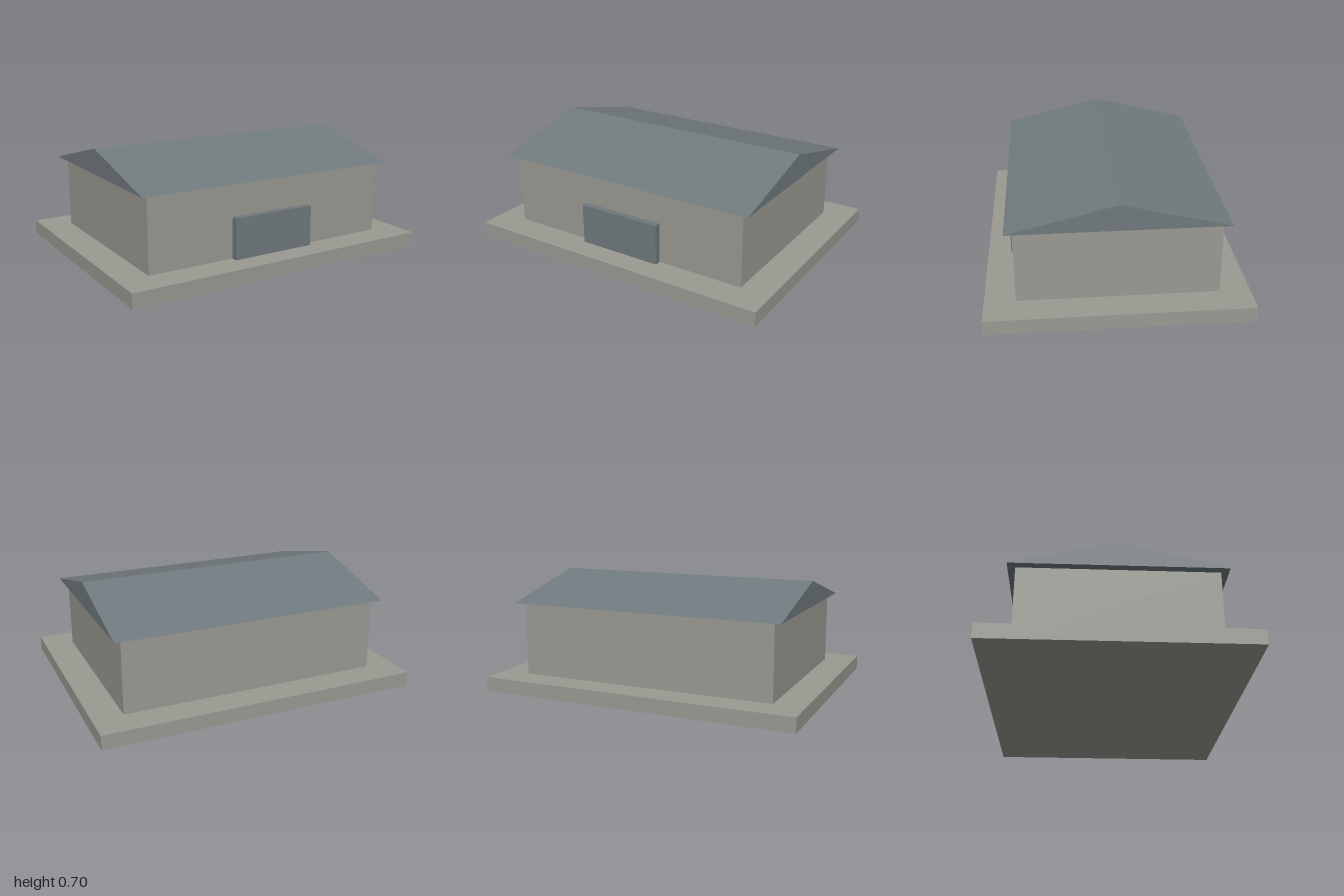
import * as THREE from 'three';

export function createModel() {
  const model = new THREE.Group();
  const stone = new THREE.MeshStandardMaterial({ color: 0x9a9992 });
  stone.name = 'stone';
  const slate = new THREE.MeshStandardMaterial({ color: 0x70797d });
  slate.name = 'slate';

  const add = (name, geometry, material, x, y, z) => {
    const mesh = new THREE.Mesh(geometry, material);
    mesh.name = name;
    mesh.position.set(x, y, z);
    model.add(mesh);
    return mesh;
  };

  // Box standing on height y
  const box = (name, w, h, d, material, y, z = 0) =>
    add(name, new THREE.BoxGeometry(w, h, d), material, 0, y + h / 2, z);

  box('foundation', 2, 0.09, 1.546, stone, 0);
  box('walls', 1.63, 0.457, 1.18, stone, 0.09);
  box('door', 0.54, 0.252, 0.04, slate, 0.09, 0.61);

  // Gable roof: triangular profile extruded along x
  const profile = new THREE.Shape([
    new THREE.Vector2(-0.635, 0),
    new THREE.Vector2(0.635, 0),
    new THREE.Vector2(0, 0.158),
  ]);
  const roof = new THREE.ExtrudeGeometry(profile, { depth: 1.726, bevelEnabled: false });
  roof.translate(0, 0, -0.863);
  roof.rotateY(Math.PI / 2);
  add('roof', roof, slate, 0, 0.547, 0);

  return model;
}
